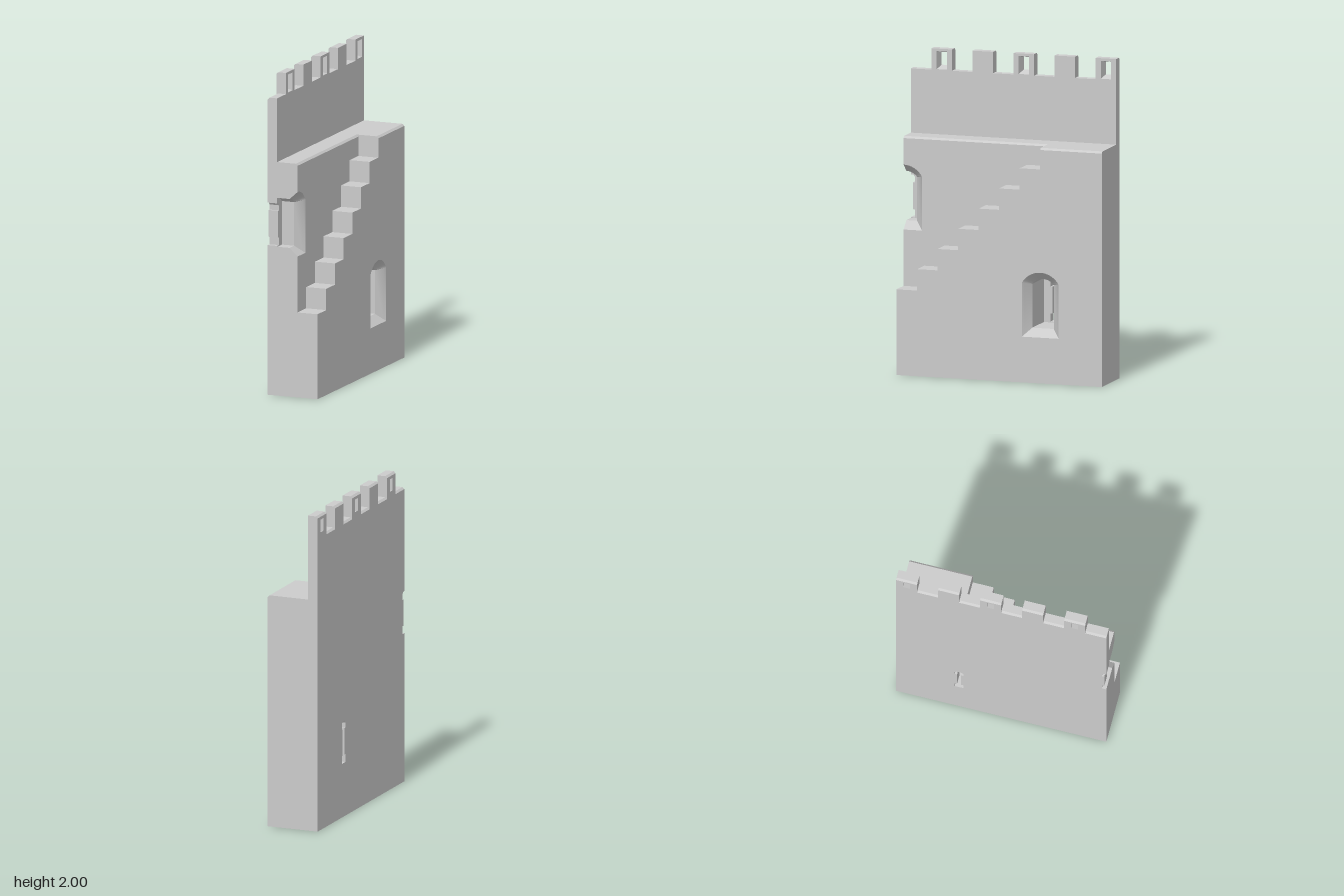
import * as THREE from 'three';
import { toCreasedNormals } from 'three/addons/utils/BufferGeometryUtils.js';

const W = 0.667, STEP = 0.1333, BEVEL = 0.012;
const WALK = 1.467, PARAPET = 1.867, TOP = 2;
const LOW = { u: 0.267, y: 0.285 }, HIGH = { u: -W, y: 0.885 };
const material = new THREE.MeshStandardMaterial({ color: 0xcccccc });

// Right half of an arched opening, bottom to top; t = 0 inner size, t = 1 flared size
function archHalf(t) {
  const h = 0.07 + 0.05 * t, r = 0.09 + 0.048 * t, b = 0.05 * (1 - t);
  const pts = [[0, b], [h, b]];
  const a0 = Math.acos(h / r), n = 8;
  for (let i = 0; i <= n; i++) {
    const a = a0 + (Math.PI / 2 - a0) * i / n;
    pts.push([i === n ? 0 : r * Math.cos(a), 0.267 + r * Math.sin(a)]);
  }
  return pts;
}

// Right half of the arrow slit, bottom to top
const slitHalf = [[0, 0.055], [0.028, 0.055], [0.028, 0.105], [0.013, 0.105], [0.013, 0.273],
  [0.028, 0.273], [0.028, 0.305], [0.016, 0.322], [0, 0.322]];

const place = (pts, at) => pts.map(([u, y]) => [u + at.u, y + at.y]);

// Closed opening: the half profile plus its mirror image
const opening = (half, at) =>
  place([...half, ...half.slice(1, -1).reverse().map(([u, y]) => [-u, y])], at);

// Half opening cut into the end of the wall, listed from the top down
const notch = (half) => place(half, HIGH).reverse();

// Solid through matching cross-sections { x, outline, holes }; section points are (-z, y)
function loft(name, sections) {
  const pos = [];
  const v = ([u, y], x) => new THREE.Vector3(x, y, -u);
  const tri = (a, b, c) => {
    const area = b.clone().sub(a).cross(c.clone().sub(a)).length();
    if (area > 1e-8) for (const p of [a, b, c]) pos.push(p.x, p.y, p.z);
  };
  const loops = (s) => [s.outline, ...s.holes.map((h) => [...h].reverse())];

  // Side walls
  for (let k = 0; k + 1 < sections.length; k++) {
    const s = sections[k], e = sections[k + 1], next = loops(e);
    loops(s).forEach((loop, l) => loop.forEach((p, i) => {
      const j = (i + 1) % loop.length;
      const a = v(p, s.x), b = v(loop[j], s.x), c = v(next[l][j], e.x), d = v(next[l][i], e.x);
      tri(a, b, c);
      tri(a, c, d);
    }));
  }
  // End faces
  [sections[0], sections[sections.length - 1]].forEach((s, end) => {
    const ls = loops(s).map((l) => l.map(([u, y]) => new THREE.Vector2(u, y)));
    const flat = loops(s).flat().map((p) => v(p, s.x));
    for (const [a, b, c] of THREE.ShapeUtils.triangulateShape(ls[0], ls.slice(1))) {
      if (end) tri(flat[a], flat[b], flat[c]);
      else tri(flat[a], flat[c], flat[b]);
    }
  });

  const geo = new THREE.BufferGeometry();
  geo.setAttribute('position', new THREE.Float32BufferAttribute(pos, 3));
  geo.computeVertexNormals();
  const mesh = new THREE.Mesh(toCreasedNormals(geo, 0.45), material);
  mesh.name = name;
  return mesh;
}

// Outer skin with battlements, merlon loopholes and arrow slits
function outerWall() {
  const x0 = -0.167, x1 = -0.103;
  return loft('battlementWall', [x0, x0 + BEVEL, x1].map((x, k) => {
    const drop = k === 0 ? BEVEL : 0;
    const outline = [[-W, 0], [W, 0]], holes = [opening(slitHalf, LOW)];
    for (let i = 0; i < 5; i++) {
      const right = W - i * 2 * STEP, left = right - STEP;
      outline.push([right, TOP - drop], [left, TOP - drop], [left, PARAPET - drop]);
      if (i < 4) outline.push([left - STEP, PARAPET - drop]);
      if (i % 2 === 0) {
        const t = (x - x0) / (x1 - x0), c = (left + right) / 2;
        const h = 0.022 + 0.011 * t, b = 1.89 - 0.018 * t, e = 1.97 + 0.014 * t;
        holes.push([[c - h, b], [c + h, b], [c + h, e], [c - h, e]]);
      }
    }
    outline.push([-W, PARAPET - drop], ...notch(slitHalf));
    return { x, outline, holes };
  }));
}

// Wall core below the walkway, with the flared half window at its end
function coreWall() {
  const x1 = 0.033, flare = 0.053;
  return loft('walkwayWall', [-0.103, x1 - flare, x1 - BEVEL, x1].map((x, k) => {
    const t = Math.max(0, 1 - (x1 - x) / flare);
    const edge = k === 3 ? WALK - BEVEL : WALK;
    return {
      x,
      outline: [[-W, 0], [W, 0], [W, WALK], [2 * STEP, WALK], [2 * STEP, edge], [-W, edge],
        ...notch(archHalf(t))],
      holes: [opening(archHalf(0), LOW)],
    };
  }));
}

// Staircase block with the flared lower window
function staircase() {
  const x1 = 0.167, flare = 0.053;
  return loft('staircase', [0.033, x1 - flare, x1 - BEVEL, x1].map((x, k) => {
    const t = Math.max(0, 1 - (x1 - x) / flare);
    const top = k === 3 ? WALK - BEVEL : WALK;
    const outline = [[-W, 0], [W, 0], [W, top], [2 * STEP, top]];
    for (let i = 1; i <= 7; i++) {
      const y = WALK - i * STEP, u = (3 - i) * STEP;
      outline.push([u, y], [i === 7 ? -W : u - STEP, y]);
    }
    return { x, outline, holes: [opening(archHalf(t), LOW)] };
  }));
}

// Each tread starts under the riser of the step above
export function createModel() {
  const group = new THREE.Group();
  group.name = 'castleWall';
  group.add(outerWall(), coreWall(), staircase());
  return group;
}
